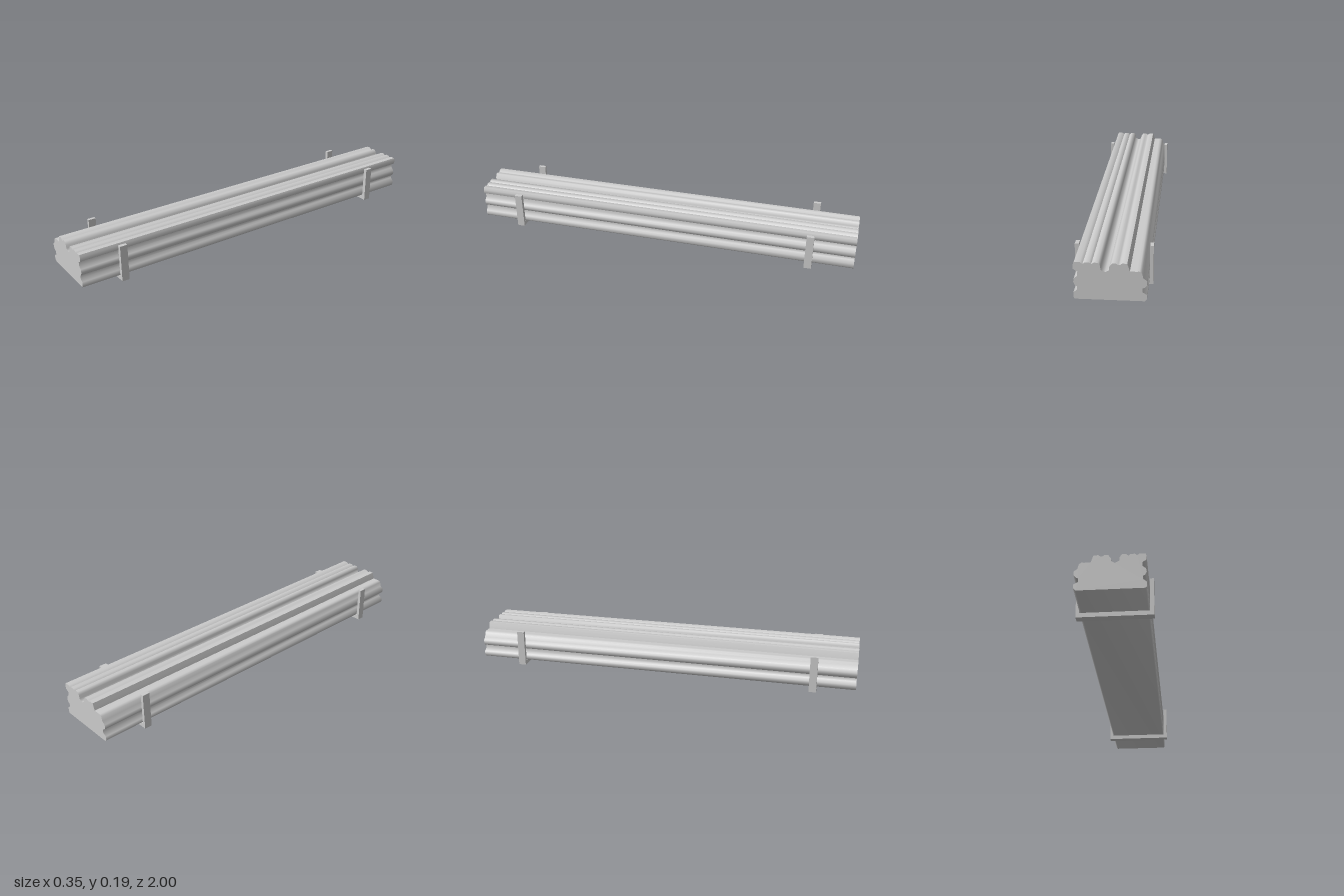
import * as THREE from 'three';
import { toCreasedNormals } from 'three/addons/utils/BufferGeometryUtils.js';

const material = new THREE.MeshStandardMaterial({ color: 0xcccccc });

// Extrude an x/y outline along z, centred on z = 0
function extrudeOutline(points, depth) {
  const shape = new THREE.Shape(points.map(([x, y]) => new THREE.Vector2(x, y)));
  const geometry = new THREE.ExtrudeGeometry(shape, { depth, bevelEnabled: false });
  return geometry.translate(0, 0, -depth / 2);
}

function addMesh(group, name, geometry, z = 0) {
  const mesh = new THREE.Mesh(geometry, material);
  mesh.name = name;
  mesh.position.z = z;
  group.add(mesh);
}

export function createModel() {
  const group = new THREE.Group();
  group.name = 'stackedBundle';

  // Lumpy bundle outline: right edge, top, left edge, closed by the flat bottom
  const outline = [
    [-0.15, 0.022], [0.149, 0.022],
    [0.154, 0.03], [0.154, 0.052], [0.138, 0.066], [0.138, 0.082], [0.147, 0.086],
    [0.154, 0.102], [0.151, 0.118], [0.137, 0.13], [0.135, 0.15], [0.154, 0.162],
    [0.154, 0.182], [0.149, 0.194],
    [0.124, 0.194], [0.113, 0.186], [0.104, 0.194], [0.085, 0.194], [0.076, 0.186],
    [0.065, 0.194], [0.047, 0.194], [0.038, 0.18], [0.037, 0.162], [0.017, 0.152],
    [0.001, 0.162], [0, 0.177], [-0.012, 0.193], [-0.027, 0.194], [-0.038, 0.187],
    [-0.045, 0.187], [-0.055, 0.195], [-0.076, 0.193], [-0.083, 0.173], [-0.087, 0.159],
    [-0.115, 0.159], [-0.128, 0.16], [-0.138, 0.152],
    [-0.144, 0.129], [-0.16, 0.117], [-0.16, 0.098], [-0.15, 0.086], [-0.14, 0.082],
    [-0.14, 0.064], [-0.16, 0.052], [-0.16, 0.033],
  ];
  addMesh(group, 'bundle', toCreasedNormals(extrudeOutline(outline, 2), 1.1));

  // U-shaped cradles that hold the bundle near each end
  const cradle = extrudeOutline([
    [-0.176, 0], [0.176, 0], [0.176, 0.187], [0.157, 0.187],
    [0.157, 0.022], [-0.16, 0.022], [-0.16, 0.187], [-0.176, 0.187],
  ], 0.038);
  addMesh(group, 'frontCradle', cradle, 0.788);
  addMesh(group, 'backCradle', cradle, -0.774);

  return group;
}
